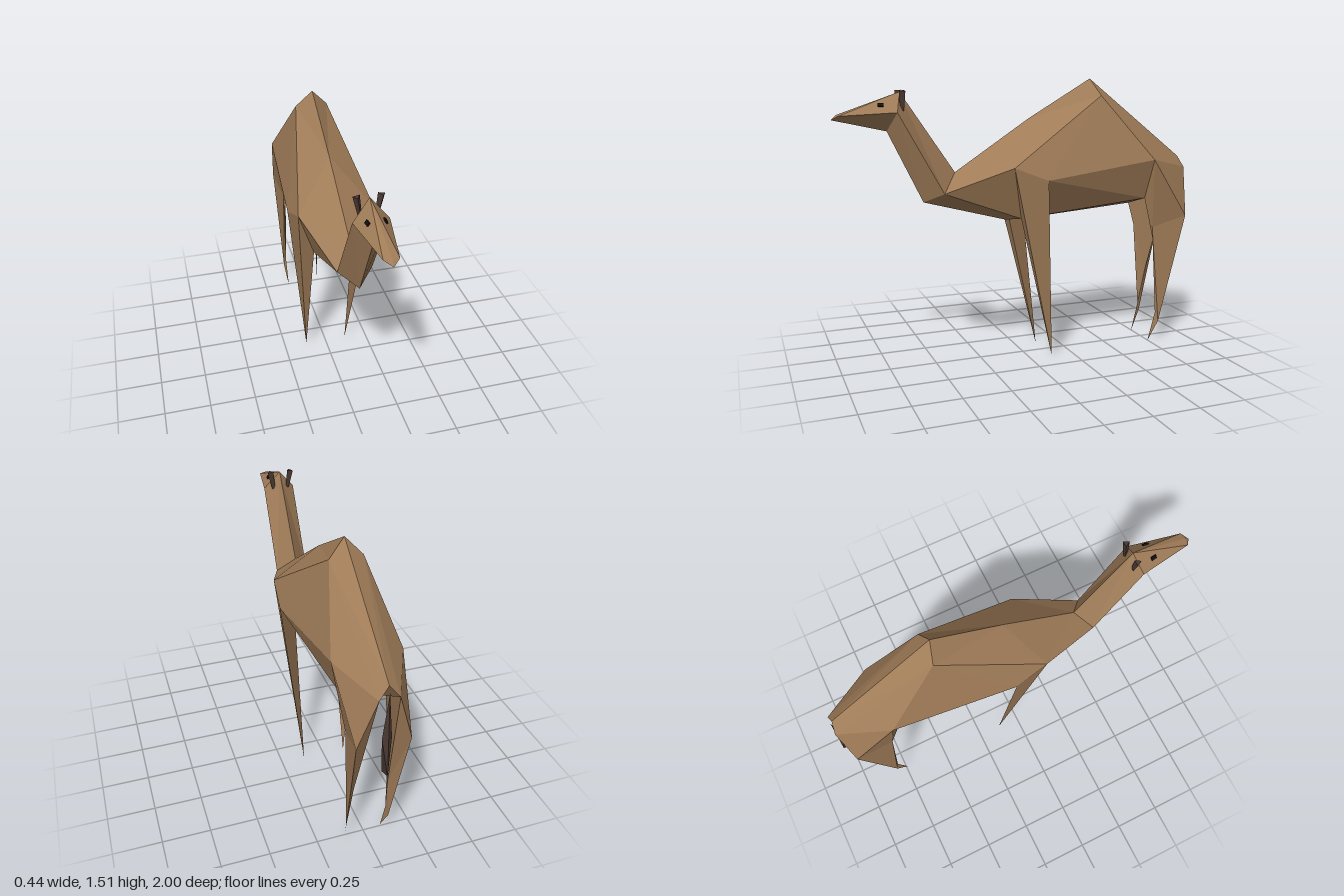
import * as THREE from 'three';

const flat = (color) => new THREE.MeshStandardMaterial({ color, flatShading: true, side: THREE.DoubleSide });
const coat = flat(0xa07c58);
const dark = flat(0x4a3832);
const black = flat(0x14100e);

// Faceted surface from polygons on the left half (each split as a fan), mirrored to the right
function skin(name, polygons, material = coat, sides = [1, -1]) {
  const pos = [];
  for (const side of sides) {
    for (const p of polygons) {
      for (let i = 1; i < p.length - 1; i++) {
        const tri = side > 0 ? [p[0], p[i], p[i + 1]] : [p[0], p[i + 1], p[i]];
        for (const [x, y, z] of tri) pos.push(x * side, y, z);
      }
    }
  }
  const geo = new THREE.BufferGeometry();
  geo.setAttribute('position', new THREE.Float32BufferAttribute(pos, 3));
  geo.computeVertexNormals();
  const mesh = new THREE.Mesh(geo, material);
  mesh.name = name;
  return mesh;
}

export function createModel() {
  const model = new THREE.Group();
  model.name = 'camel';

  // Joints shared between neighbouring parts
  const crown = [0, 1.455, 0.66], cheek = [0.085, 1.355, 0.69], jaw = [0, 1.26, 0.73];
  const withers = [0, 1.04, 0.38], neckSide = [0.088, 0.94, 0.46], throat = [0, 0.89, 0.55];
  const shoulderFront = [0.2, 1.07, 0.12], shoulderBack = [0.22, 1, -0.06], armpit = [0.105, 0.79, 0.05];
  const hip = [0.175, 1.08, -0.71], groin = [0.11, 0.86, -0.69], rump = [0.05, 1.02, -0.975];

  // Head: wedge tapering to the muzzle
  const noseTop = [0, 1.345, 0.975], noseSide = [0.036, 1.34, 0.97], noseTip = [0, 1.32, 1];
  model.add(skin('head', [
    [crown, noseTop, noseSide], [crown, noseSide, cheek],
    [noseTop, noseTip, noseSide], [cheek, noseSide, noseTip], [cheek, noseTip, jaw],
  ]));

  // Neck: diamond section from head to chest
  model.add(skin('neck', [
    [crown, cheek, neckSide], [crown, neckSide, withers],
    [cheek, jaw, throat, neckSide],
  ]));

  // Body with a single hump
  const peak = [0, 1.52, -0.39], humpSide = [0.085, 1.43, -0.42], back = [0, 1.31, -0.03];
  const chest = [0, 0.77, 0.1], belly = [0, 0.82, -0.65], tailRoot = [0, 1.08, -0.96];
  model.add(skin('body', [
    [withers, neckSide, shoulderFront], [back, withers, shoulderFront],
    [humpSide, back, shoulderFront], [peak, back, humpSide],
    [humpSide, shoulderFront, shoulderBack], [humpSide, shoulderBack, hip],
    [peak, humpSide, tailRoot], [humpSide, rump, tailRoot], [humpSide, hip, rump],
    [neckSide, throat, chest], [neckSide, chest, armpit], [neckSide, armpit, shoulderFront],
    [shoulderBack, armpit, groin], [shoulderBack, groin, hip],
    [armpit, chest, belly, groin], [belly, rump, groin], [belly, tailRoot, rump],
  ]));

  // Front legs: three-sided spikes
  const frontFoot = [0.12, 0.01, -0.125];
  model.add(skin('frontLegs', [
    [shoulderFront, frontFoot, shoulderBack],
    [shoulderFront, armpit, frontFoot],
    [shoulderBack, frontFoot, armpit],
  ]));

  // Hind legs: thigh, shank and a foot bent forward
  const knee = [0.11, 0.69, -0.745], hock = [0.135, 0.75, -0.945], inner = [0.088, 0.39, -0.82];
  const ankleFront = [0.102, 0.18, -0.785], ankleBack = [0.114, 0.13, -0.8], hindFoot = [0.098, 0.01, -0.742];
  model.add(skin('hindLegs', [
    [hip, groin, knee], [hip, knee, hock], [hip, hock, rump],
    [knee, ankleFront, ankleBack, hock], [hock, ankleBack, inner],
    [knee, inner, ankleFront], [inner, ankleBack, ankleFront],
    [groin, inner, knee], [groin, rump, inner], [rump, hock, inner],
    [ankleFront, hindFoot, ankleBack],
  ]));

  // Tail: narrow blade, widest in the middle
  const tailTop = [0, 1.05, -0.972], tailSide = [0.024, 0.8, -0.968];
  const tuftFront = [0, 0.575, -0.93], tuftBack = [0, 0.6, -1];
  model.add(skin('tail', [
    [tailTop, tailSide, tuftBack], [tailSide, tuftFront, tuftBack], [tailTop, tuftFront, tailSide],
  ], dark));

  // Ears and eyes
  for (const side of [1, -1]) {
    const ear = new THREE.Mesh(new THREE.CylinderGeometry(0.019, 0.011, 0.1, 3), dark);
    ear.name = side > 0 ? 'leftEar' : 'rightEar';
    ear.position.set(side * 0.048, 1.412, 0.655);
    ear.rotation.z = -side * 0.18;
    model.add(ear);

    const eye = new THREE.Mesh(new THREE.BoxGeometry(0.008, 0.018, 0.028), black);
    eye.name = side > 0 ? 'leftEye' : 'rightEye';
    eye.position.set(side * 0.041, 1.392, 0.763);
    eye.rotation.set(0, -side * 0.12, side * 0.6);
    model.add(eye);
  }
  return model;
}
